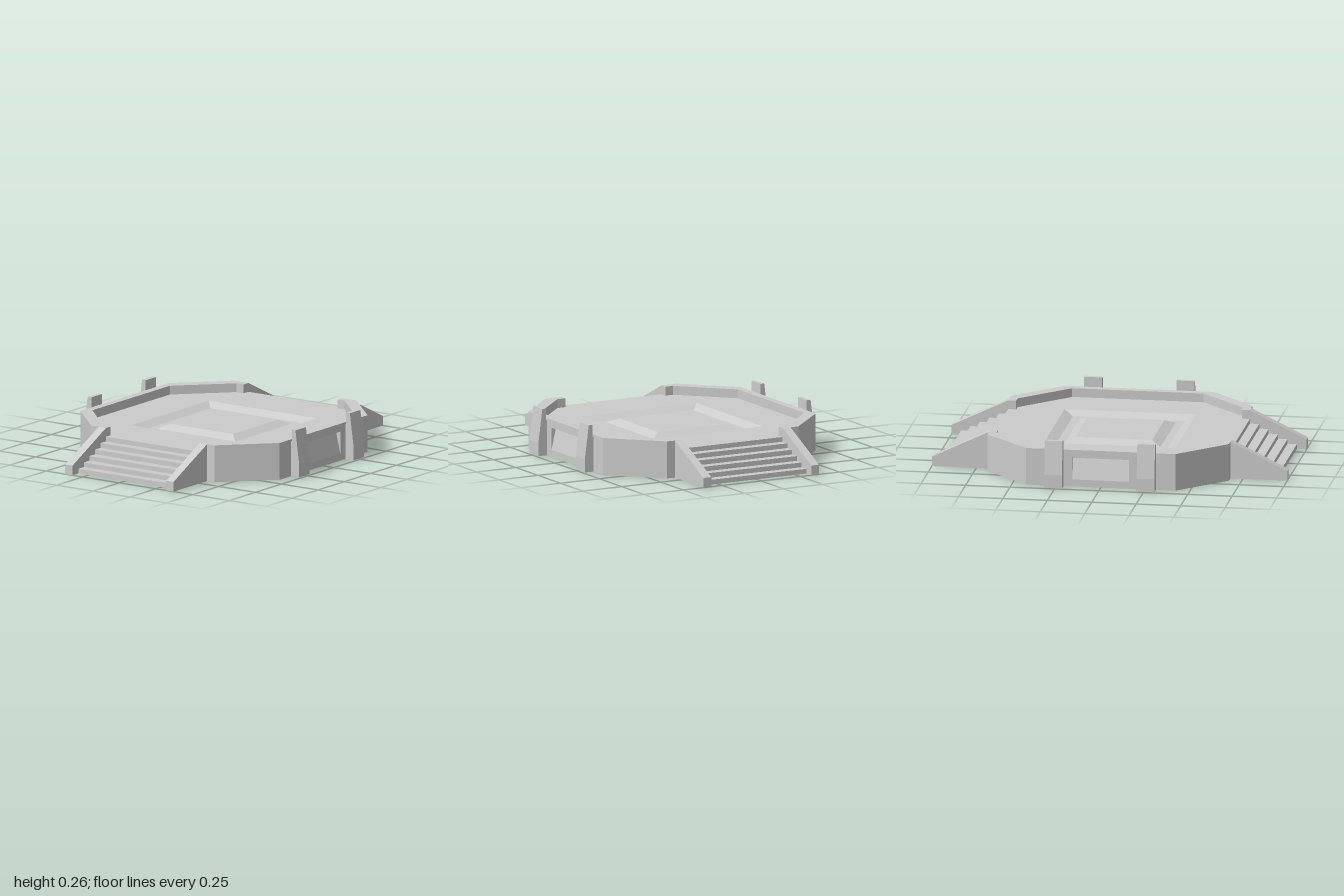
import * as THREE from 'three';

const material = new THREE.MeshStandardMaterial({ color: 0xcccccc, flatShading: true });
const WALL = 0.21, FLOOR = 0.16, OUT = 0.68, IN = 0.635, GATE = 0.32;

function add(parent, name, geometry) {
  const mesh = new THREE.Mesh(geometry, material);
  mesh.name = name;
  parent.add(mesh);
  return mesh;
}

function extrude(points, depth, hole) {
  const toVec = ([x, y]) => new THREE.Vector2(x, y);
  const shape = new THREE.Shape(points.map(toVec));
  if (hole) shape.holes.push(new THREE.Path(hole.map(toVec)));
  return new THREE.ExtrudeGeometry(shape, { depth, bevelEnabled: false });
}

// Plan outline [x, z] raised from the ground
const raise = (points, height, hole) =>
  extrude(points.map(([x, z]) => [x, -z]), height, hole).rotateX(-Math.PI / 2);

// Cross-section [z, y] swept from x0 to x1
const sweepX = (points, x0, x1) =>
  extrude(points, x1 - x0).rotateY(-Math.PI / 2).translate(x1, 0, 0);

// Mirror a half outline across x = 0
const mirrorX = (half) => [...half, ...half.map(([x, z]) => [-x, z]).reverse()];

// Half of the parapet wall with its buttresses and sloped panel
function createWallSide(name) {
  const side = new THREE.Group();
  side.name = name;
  const nx = 0.16, nz = 0.65;
  const outer = mirrorX([[OUT, GATE], [OUT, 0.42], [0.42, OUT], [nx, OUT], [nx, nz]]);
  const inner = [[-IN, GATE], [-IN, 0.37], [-0.37, IN], [0.37, IN], [IN, 0.37], [IN, GATE]];
  add(side, 'parapetWall', raise([...outer, ...inner], WALL));

  // Lintel above the recess and the panel leaning back inside it
  add(side, 'panelLintel', sweepX([[nz, 0.165], [OUT, 0.165], [OUT, WALL], [nz, WALL]], -nx, nx));
  add(side, 'slopedPanel', sweepX([[nz - 0.01, 0], [OUT, 0], [OUT, 0.04], [nz, 0.165], [nz - 0.01, 0.165]], -nx, nx));

  const buttress = [[0.675, 0], [0.735, 0], [0.735, 0.075], [0.71, 0.265], [0.685, 0.265], [0.685, 0.2], [0.675, 0.2]];
  for (const x of [-0.31, 0.21]) add(side, 'buttress', sweepX(buttress, x, x + 0.1));
  return side;
}

// Flight of five steps between two sloping side walls
function createStairs(name) {
  const stairs = new THREE.Group();
  stairs.name = name;
  const count = 5, run = 0.053, rise = FLOOR / (count + 1);
  const profile = [[OUT, 0]];
  for (let i = 0; i < count; i++) {
    const y = FLOOR - rise * (i + 1);
    profile.push([OUT + run * i, y], [OUT + run * (i + 1), y]);
  }
  profile.push([OUT + run * count, 0]);
  add(stairs, 'steps', extrude(profile, GATE * 2).translate(0, 0, -GATE));

  const rail = [[OUT, 0], [1, 0], [1, 0.055], [OUT, WALL]];
  for (const z of [-0.37, GATE]) add(stairs, 'stairSideWall', extrude(rail, 0.05).translate(0, 0, z));
  return stairs;
}

export function createModel() {
  const model = new THREE.Group();
  model.name = 'steppedPlatform';

  // Floor slab with a square opening for the groove
  const q = 0.37;
  const quarter = [[OUT, GATE], [IN, GATE], [IN, 0.37], [0.37, IN]];
  const front = mirrorX(quarter);
  const back = front.map(([x, z]) => [-x, -z]);
  add(model, 'floor', raise([...front, ...back], FLOOR, [[-q, -q], [q, -q], [q, q], [-q, q]]));
  add(model, 'floorBase', new THREE.BoxGeometry(q * 2, 0.1, q * 2).translate(0, 0.05, 0));

  // Square groove with bevelled sides around the centre of the floor
  const groove = [[q, FLOOR], [0.315, 0.135], [0.27, 0.135], [0.215, FLOOR], [0, FLOOR]]
    .map(([r, y]) => new THREE.Vector2(r * Math.SQRT2, y));
  add(model, 'floorGroove', new THREE.LatheGeometry(groove, 4).rotateY(Math.PI / 4));

  const backWall = createWallSide('backWall');
  backWall.rotation.y = Math.PI;
  const rightStairs = createStairs('rightStairs');
  rightStairs.rotation.y = Math.PI;
  model.add(createWallSide('frontWall'), backWall, createStairs('leftStairs'), rightStairs);
  return model;
}
